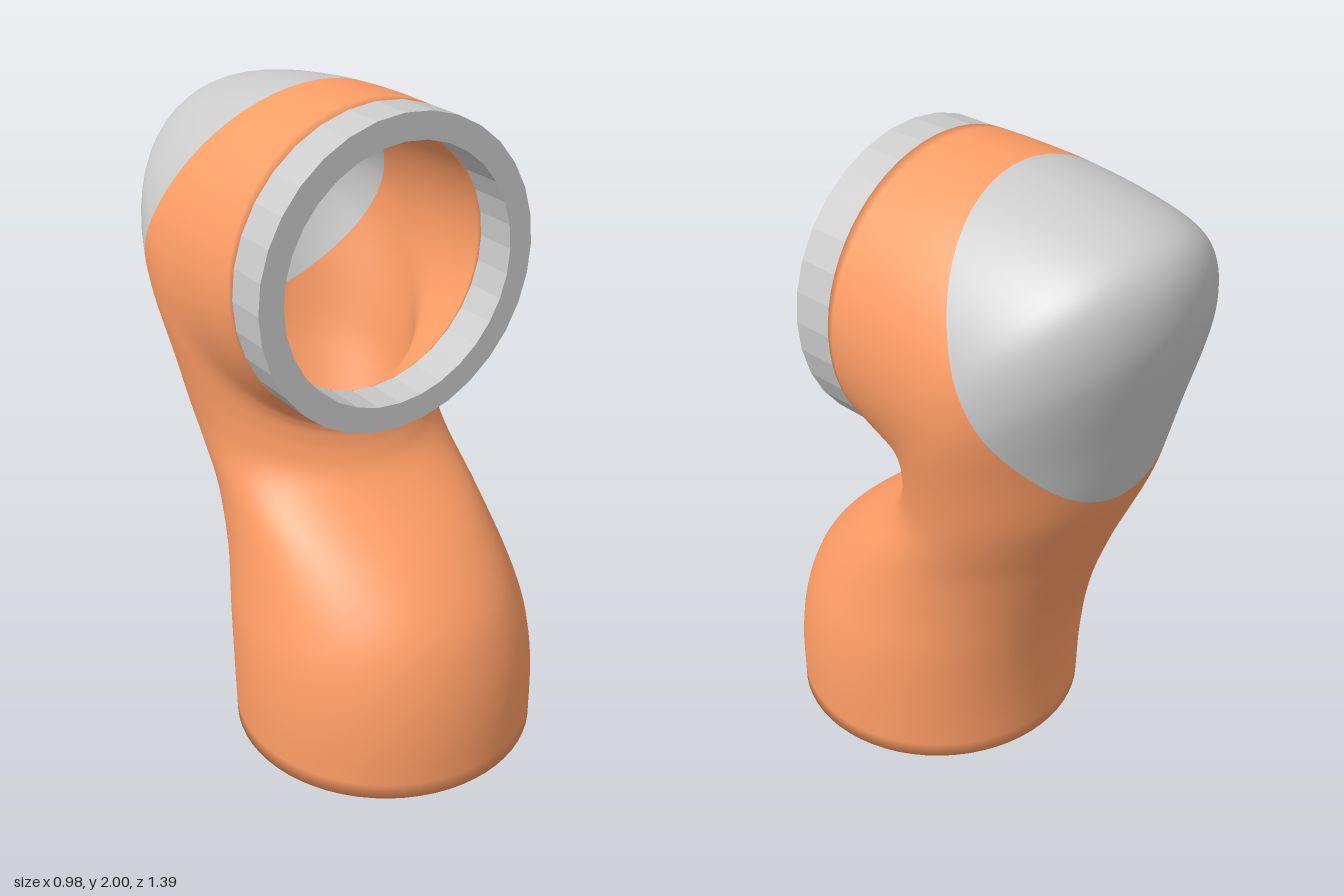
import * as THREE from 'three';

// Sections of the bent tube: [back y, back z, front y, front z, half width]
const SECTIONS = [
  [0, -0.26, 0, 0.7, 0.48], [0.2, -0.27, 0.2, 0.695, 0.48], [0.4, -0.3, 0.37, 0.665, 0.465],
  [0.6, -0.355, 0.52, 0.6, 0.43], [0.8, -0.43, 0.67, 0.46, 0.405], [0.95, -0.495, 0.8, 0.28, 0.4],
  [1.11, -0.56, 0.87, 0.2, 0.41], [1.35, -0.62, 0.93, 0.165, 0.435], [1.56, -0.675, 0.97, 0.152, 0.46],
  [1.7, -0.695, 0.99, 0.148, 0.475], [1.83, -0.675, 1.0, 0.148, 0.485], [1.91, -0.6, 1.01, 0.148, 0.49],
  [1.96, -0.42, 1.02, 0.148, 0.49], [1.99, -0.2, 1.03, 0.149, 0.487], [2, 0, 1.04, 0.15, 0.48],
  [2, 0.15, 1.05, 0.15, 0.475],
];
const SIDES = 64, STEPS = 60, WALL = 0.83;

// Hollow elbow: up the outer wall, over the lip, back down the inner wall
function elbowShell() {
  const back = new THREE.CatmullRomCurve3(
    SECTIONS.map(s => new THREE.Vector3(s[4], s[0], s[1])), false, 'catmullrom', 0.5);
  const front = new THREE.CatmullRomCurve3(
    SECTIONS.map(s => new THREE.Vector3(0, s[2], s[3])), false, 'catmullrom', 0.5);
  const positions = [], index = [];
  const addRow = (t, scale) => {
    const b = back.getPoint(t), f = front.getPoint(t);
    for (let j = 0; j < SIDES; j++) {
      const a = (j / SIDES) * Math.PI * 2, c = Math.cos(a) * scale;
      positions.push(b.x * Math.sin(a) * scale,
        (b.y + f.y) / 2 + c * (b.y - f.y) / 2,
        (b.z + f.z) / 2 + c * (b.z - f.z) / 2);
    }
  };
  for (let i = 0; i <= STEPS; i++) addRow(i / STEPS, 1);
  for (let i = STEPS; i >= 0; i--) addRow(i / STEPS, WALL);
  const rows = 2 * (STEPS + 1);
  for (let i = 0; i < rows; i++) {
    for (let j = 0; j < SIDES; j++) {
      const i2 = (i + 1) % rows, j2 = (j + 1) % SIDES;
      const a = i * SIDES + j, b = i2 * SIDES + j, c = i * SIDES + j2, d = i2 * SIDES + j2;
      index.push(a, b, c, b, d, c);
    }
  }
  const g = new THREE.BufferGeometry();
  g.setAttribute('position', new THREE.Float32BufferAttribute(positions, 3));
  g.setIndex(index);
  g.computeVertexNormals();
  return g;
}

// Keeps the part of a smooth geometry on one side of the slanted cap plane
function clip(geometry, sign) {
  const { position, normal } = geometry.attributes;
  const dist = p => sign * (0.42 * p.y - 0.89 * p.z - 0.965);
  const verts = [], norms = [];
  const idx = geometry.index.array;
  for (let k = 0; k < idx.length; k += 3) {
    const tri = [0, 1, 2].map(n => {
      const p = new THREE.Vector3().fromBufferAttribute(position, idx[k + n]);
      return { p, n: new THREE.Vector3().fromBufferAttribute(normal, idx[k + n]), d: dist(p) };
    });
    const poly = [];
    tri.forEach((a, n) => {
      const b = tri[(n + 1) % 3];
      if (a.d >= 0) poly.push(a);
      if ((a.d >= 0) !== (b.d >= 0)) {
        const t = a.d / (a.d - b.d);
        poly.push({ p: a.p.clone().lerp(b.p, t), n: a.n.clone().lerp(b.n, t).normalize() });
      }
    });
    for (let n = 1; n + 1 < poly.length; n++) {
      for (const v of [poly[0], poly[n], poly[n + 1]]) {
        verts.push(v.p.x, v.p.y, v.p.z);
        norms.push(v.n.x, v.n.y, v.n.z);
      }
    }
  }
  const g = new THREE.BufferGeometry();
  g.setAttribute('position', new THREE.Float32BufferAttribute(verts, 3));
  g.setAttribute('normal', new THREE.Float32BufferAttribute(norms, 3));
  return g;
}

export function createModel() {
  const group = new THREE.Group();
  const add = (name, geometry, material) => {
    const mesh = new THREE.Mesh(geometry, material);
    mesh.name = name;
    group.add(mesh);
    return mesh;
  };
  const orange = new THREE.MeshStandardMaterial({ color: 0xff9e66 });
  const grey = new THREE.MeshStandardMaterial({ color: 0xcccccc });
  const greyFlat = new THREE.MeshStandardMaterial({ color: 0xcccccc, flatShading: true });

  // Housing and the rounded cover behind the slanted seam
  const shell = elbowShell();
  add('elbowHousing', clip(shell, -1), orange);
  add('rearCap', clip(shell, 1), grey);

  // Flange ring around the front opening
  const profile = [[0.395, 0], [0.475, 0], [0.475, 0.135], [0.395, 0.135], [0.395, 0]]
    .map(p => new THREE.Vector2(...p));
  const ring = add('frontFlange', new THREE.LatheGeometry(profile, 32).rotateX(Math.PI / 2), greyFlat);
  ring.position.set(0, 1.525, 0.15);
  return group;
}
